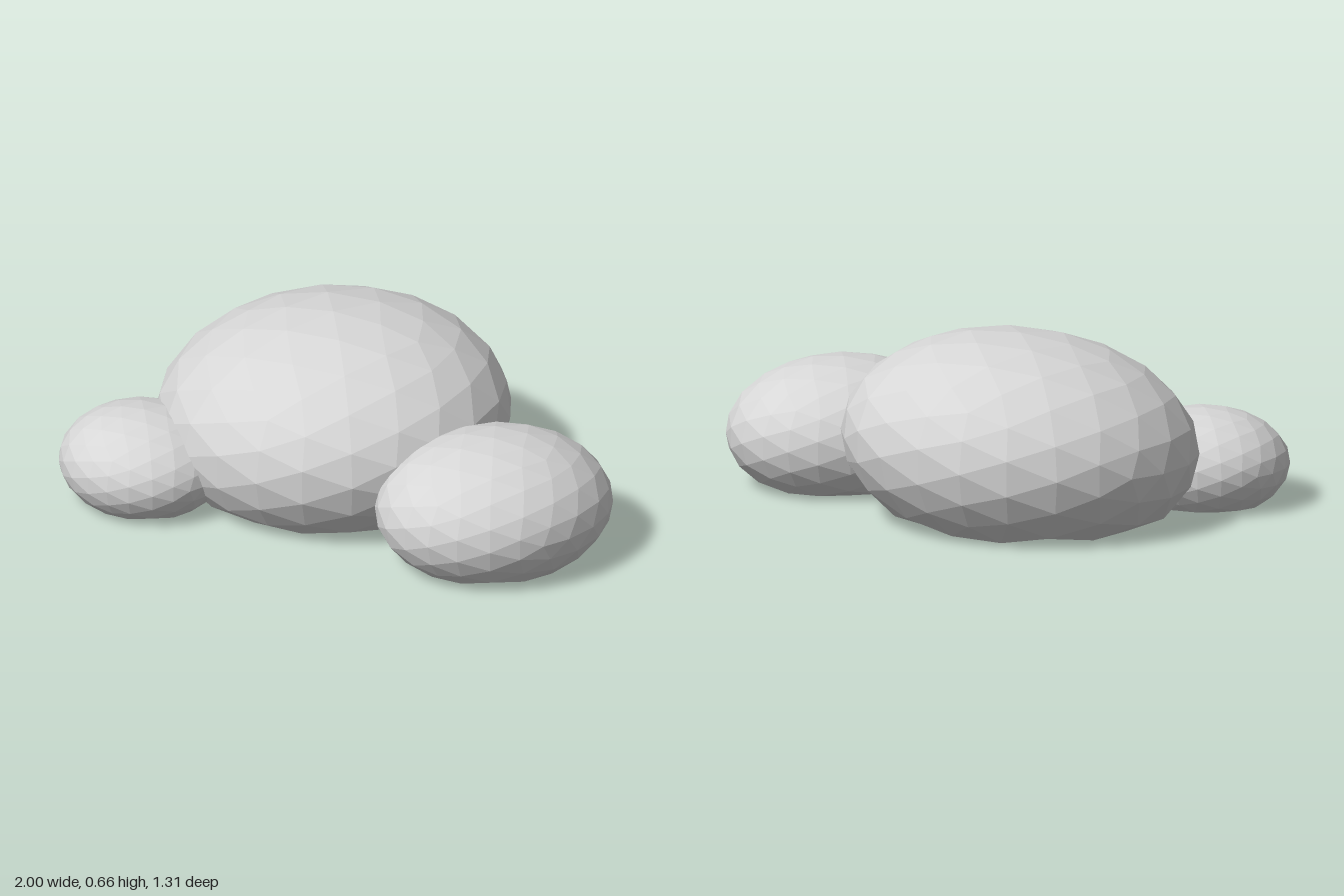
import * as THREE from 'three';

const stone = new THREE.MeshStandardMaterial({ color: 0xd6d6d6 });
stone.name = 'pale stone';

// Faceted boulder: a squashed icosphere, skewed along x by z, tilted in y by x and z,
// then pressed flat on the ground
function boulder(name, [cx, cy, cz], [rx, ry, rz], skew = 0, tiltX = 0, tiltZ = 0) {
  const geo = new THREE.IcosahedronGeometry(1, 3);
  const p = geo.attributes.position;
  for (let i = 0; i < p.count; i++) {
    const x = p.getX(i), y = p.getY(i), z = p.getZ(i);
    const height = cy + y * ry + x * tiltX + z * tiltZ;
    p.setXYZ(i, cx + x * rx + z * skew, Math.max(0, height), cz + z * rz);
  }
  geo.computeVertexNormals(); // unindexed, so every facet stays flat
  const mesh = new THREE.Mesh(geo, stone);
  mesh.name = name;
  return mesh;
}

export function createModel() {
  const group = new THREE.Group();
  group.name = 'boulders';
  group.add(
    boulder('largeBoulder', [-0.16, 0.268, -0.06], [0.639, 0.395, 0.599], 0, 0.03, -0.015),
    boulder('mediumBoulder', [0.602, 0.19, 0.185], [0.393, 0.262, 0.405], -0.055),
    boulder('smallBoulder', [-0.695, 0.145, 0.36], [0.305, 0.196, 0.291])
  );
  return group;
}
